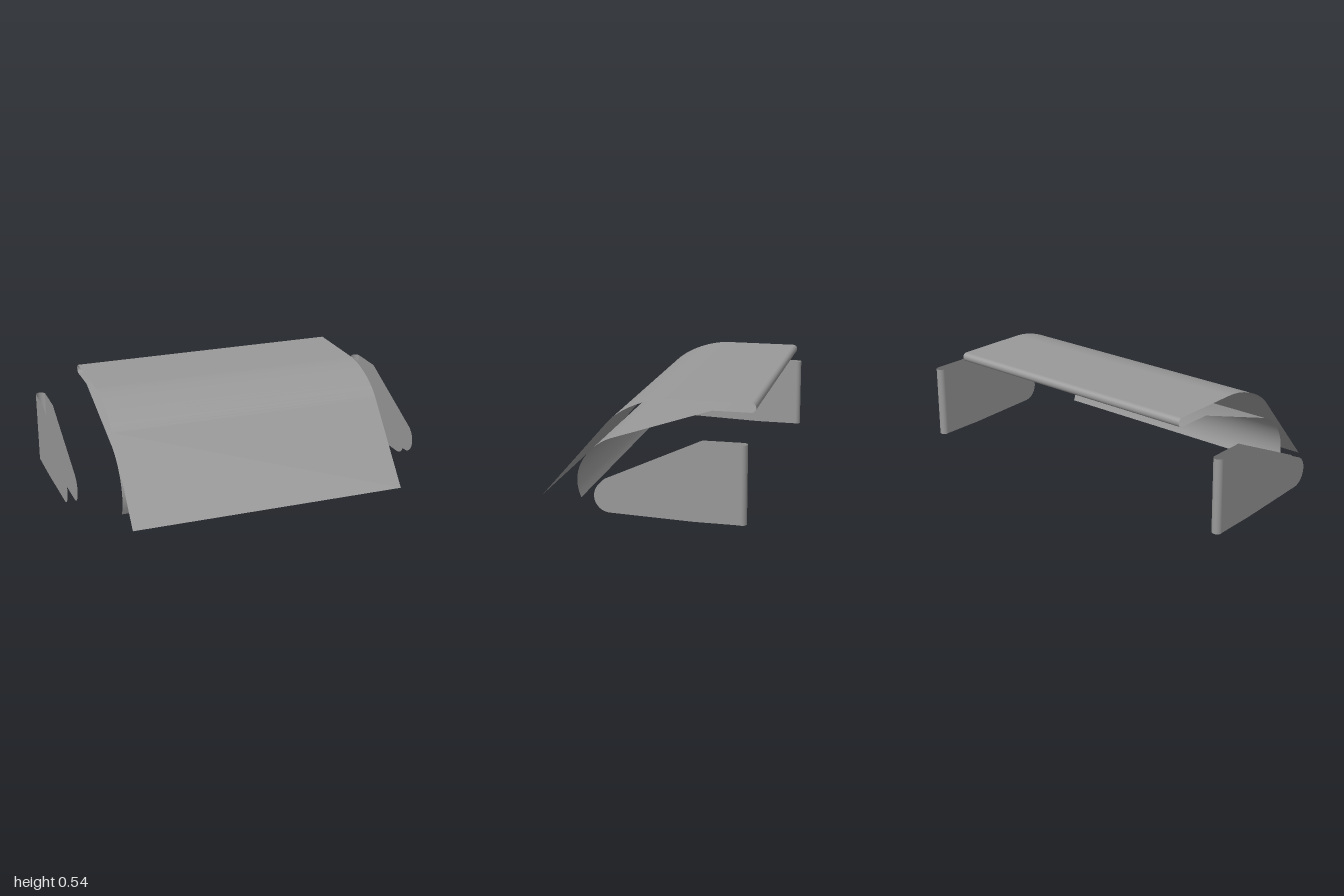
import * as THREE from 'three';

const material = new THREE.MeshStandardMaterial({ color: 0x999999, side: THREE.DoubleSide });

function part(name, geometry, parent) {
  const mesh = new THREE.Mesh(geometry, material);
  mesh.name = name;
  parent.add(mesh);
  return mesh;
}

// Sweeps an open side profile, drawn as (z, y), along x into a thin sheet
function sheet(path, halfWidth) {
  const points = path.getPoints(16);
  const geometry = new THREE.PlaneGeometry(1, 1, 1, points.length - 1);
  const position = geometry.attributes.position;
  points.forEach((p, i) => {
    position.setXYZ(2 * i, -halfWidth, p.y, p.x);
    position.setXYZ(2 * i + 1, halfWidth, p.y, p.x);
  });
  geometry.computeVertexNormals();
  return geometry;
}

function createCanopy() {
  const profile = new THREE.Path();
  // Sloped front, bend and flat top
  profile.moveTo(0.546, 0);
  profile.lineTo(0.2, 0.4);
  profile.bezierCurveTo(0.14, 0.47, 0, 0.535, -0.13, 0.537);
  profile.lineTo(-0.523, 0.537);
  // Rounded back lip
  profile.absarc(-0.523, 0.513, 0.024, Math.PI / 2, Math.PI * 1.5, false);
  // Underside, sloping forward and curling down behind the front
  profile.lineTo(-0.33, 0.489);
  profile.lineTo(0.18, 0.32);
  profile.bezierCurveTo(0.28, 0.287, 0.41, 0.16, 0.34, 0);
  return sheet(profile, 0.752);
}

function createEndPlate(side) {
  const plate = new THREE.Group();
  plate.name = side > 0 ? 'leftEndPlate' : 'rightEndPlate';
  const radius = 0.0265, height = 0.392, backZ = -0.52;

  // Tapered side outline with a round nose, drawn as (z, y)
  const outline = new THREE.Shape();
  outline.moveTo(backZ, 0.002);
  outline.lineTo(-0.29, 0.003);
  outline.lineTo(0.113, 0.018);
  outline.absarc(0.115, 0.1, 0.082, -Math.PI / 2, 1.134, false);
  outline.lineTo(-0.325, height);
  outline.lineTo(backZ, height);

  for (const offset of [-radius, radius]) {
    const face = part(offset * side > 0 ? 'outerFace' : 'innerFace', new THREE.ShapeGeometry(outline, 24), plate);
    face.rotation.y = -Math.PI / 2;
    face.position.x = offset;
  }

  // Half-round strip joining both faces at the back
  const edge = part('roundBackEdge',
    new THREE.CylinderGeometry(radius, radius, height, 20, 1, true, Math.PI / 2, Math.PI), plate);
  edge.position.set(0, height / 2, backZ);

  plate.position.x = side * (1 - radius);
  return plate;
}

export function createModel() {
  const model = new THREE.Group();
  part('canopy', createCanopy(), model);
  for (const side of [-1, 1]) model.add(createEndPlate(side));
  return model;
}
